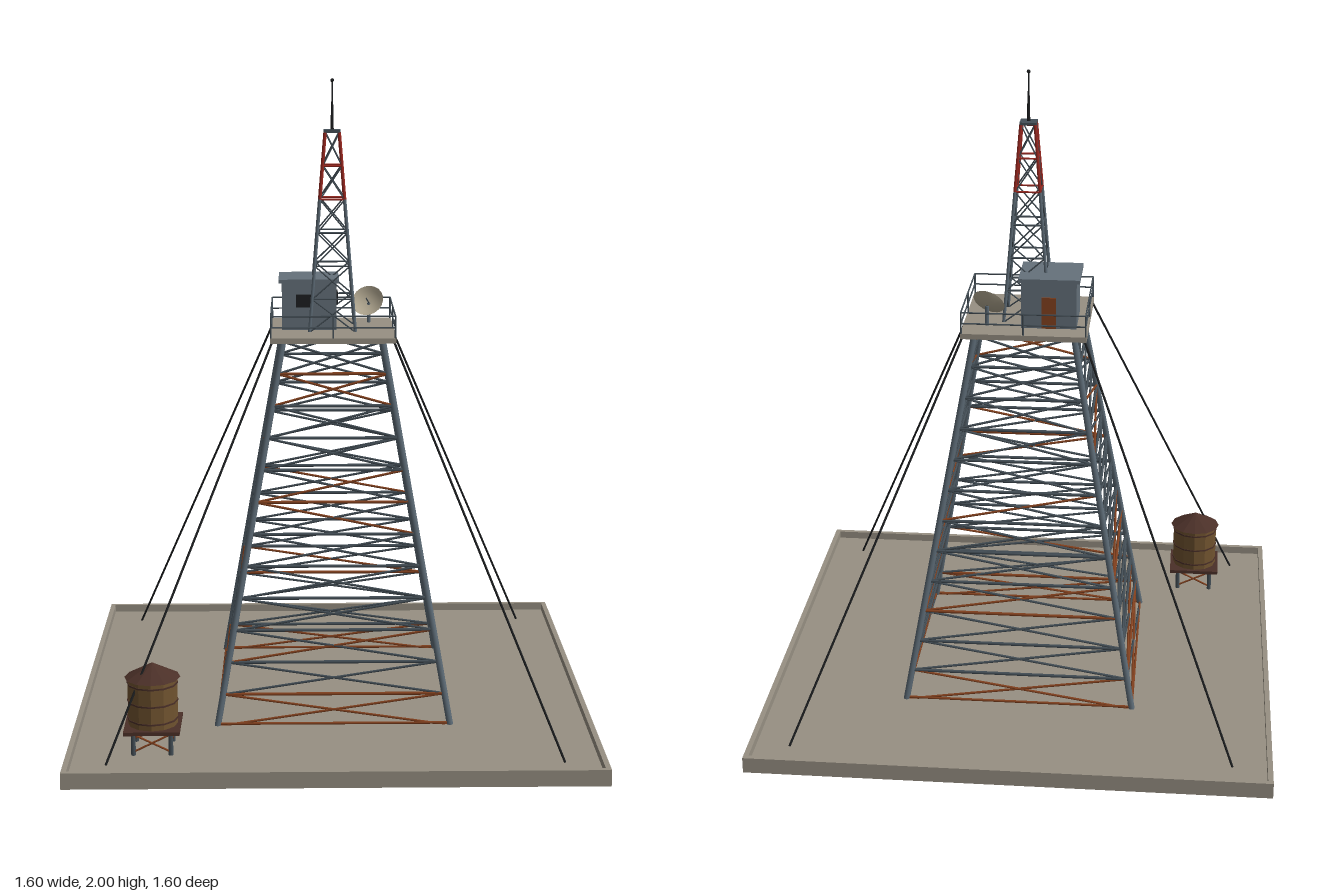
import * as THREE from 'three';

const mat = (name, color) => {
  const m = new THREE.MeshStandardMaterial({ color });
  m.name = name;
  return m;
};

export function createModel() {
  const concrete = mat('concrete', 0x979083);
  const steel = mat('blue grey steel', 0x5c6a75);
  const brace = mat('dark brace steel', 0x444f57);
  const black = mat('black cable', 0x1d1f21);
  const rust = mat('rust', 0x85421f);
  const red = mat('mast red', 0x9c2820);
  const cabinGrey = mat('cabin grey', 0x65717b);
  const wood = mat('tank wood', 0x70532f);
  const roofBrown = mat('roof brown', 0x4b3028);
  const cream = mat('dish cream', 0xb3a992);
  cream.side = THREE.DoubleSide;

  const root = new THREE.Group();
  const group = (name) => {
    const g = new THREE.Group();
    g.name = name;
    root.add(g);
    return g;
  };
  const add = (parent, name, geo, m, x = 0, y = 0, z = 0) => {
    const mesh = new THREE.Mesh(geo, m);
    mesh.name = name;
    mesh.position.set(x, y, z);
    parent.add(mesh);
    return mesh;
  };
  const box = (parent, name, w, h, d, m, x, y, z) =>
    add(parent, name, new THREE.BoxGeometry(w, h, d), m, x, y, z);
  const up = new THREE.Vector3(0, 1, 0);
  // Straight bar between two points
  const strut = (parent, name, a, b, r, m, sides = 6) => {
    const dir = b.clone().sub(a);
    const mesh = add(parent, name, new THREE.CylinderGeometry(r, r, dir.length(), sides), m);
    mesh.position.copy(a).add(b).multiplyScalar(0.5);
    mesh.quaternion.setFromUnitVectors(up, dir.normalize());
    return mesh;
  };
  // Corner k (0..3) of a square ring with half width h at height y
  const corner = (k, h, y) =>
    new THREE.Vector3(k === 0 || k === 3 ? h : -h, y, k < 2 ? h : -h);
  let seed = 11;
  const rand = () => (seed = (seed * 16807) % 2147483647) / 2147483647;

  // Tapering four-legged lattice; colour callbacks choose leg and brace material per panel
  const lattice = (g, o) => {
    const level = (i) => {
      const t = i / o.panels;
      return [o.h0 + (o.h1 - o.h0) * t, o.y0 + (o.y1 - o.y0) * t];
    };
    for (let i = 0; i < o.panels; i++) {
      for (let k = 0; k < 4; k++) {
        const a = corner(k, ...level(i)), b = corner((k + 1) % 4, ...level(i));
        const c = corner(k, ...level(i + 1)), d = corner((k + 1) % 4, ...level(i + 1));
        strut(g, 'leg', a, c, o.legR, o.legMat(i), 8);
        strut(g, 'girt', c, d, o.r, o.girtMat(i));
        strut(g, 'diagonal', a, d, o.r * 0.8, o.diagMat(i), 5);
        strut(g, 'diagonal', b, c, o.r * 0.8, o.diagMat(i), 5);
      }
    }
  };

  // Concrete pad with a low curb
  const pad = group('pad');
  box(pad, 'floor', 1.57, 0.025, 1.57, concrete, 0, 0.0125, 0);
  for (const s of [-1, 1]) {
    box(pad, 'curb', 1.6, 0.05, 0.016, concrete, 0, 0.025, s * 0.792);
    box(pad, 'curb', 0.016, 0.05, 1.568, concrete, s * 0.792, 0.025, 0);
  }

  // Main tower
  const tower = group('tower');
  lattice(tower, {
    panels: 12, h0: 0.362, h1: 0.155, y0: 0.022, y1: 1.2, legR: 0.01, r: 0.005,
    legMat: () => steel,
    girtMat: () => (rand() < 0.1 ? rust : brace),
    diagMat: (i) => (rand() < (i === 0 ? 0.6 : 0.2) ? rust : brace),
  });
  for (let k = 0; k < 4; k++) {
    strut(tower, 'baseGirt', corner(k, 0.362, 0.03), corner((k + 1) % 4, 0.362, 0.03), 0.004, rust);
  }

  // Deck and railing
  const deck = group('deck');
  box(deck, 'deckPlate', 0.39, 0.017, 0.39, concrete, 0, 1.2085, 0);
  for (let k = 0; k < 4; k++) {
    for (const y of [1.25, 1.285]) {
      strut(deck, 'rail', corner(k, 0.192, y), corner((k + 1) % 4, 0.192, y), 0.0025, brace);
    }
    for (const t of [0, 0.5]) {
      const p = corner(k, 0.192, 1.215).lerp(corner((k + 1) % 4, 0.192, 1.215), t);
      strut(deck, 'railPost', p, p.clone().setY(1.285), 0.003, brace);
    }
  }

  // Cabin with door at the back and a window on the left side
  const cabin = group('cabin');
  box(cabin, 'walls', 0.172, 0.15, 0.166, cabinGrey, -0.073, 1.292, -0.04);
  box(cabin, 'roof', 0.19, 0.012, 0.178, cabinGrey, -0.074, 1.372, -0.042);
  box(cabin, 'door', 0.045, 0.1, 0.006, rust, -0.073, 1.268, -0.125);
  box(cabin, 'window', 0.006, 0.04, 0.055, black, 0.015, 1.31, -0.035);
  box(cabin, 'window', 0.05, 0.04, 0.006, black, -0.09, 1.31, 0.045);

  // Upper mast, red towards the top
  const mast = group('mast');
  const mastMat = (i) => (i >= 4 ? red : steel);
  lattice(mast, {
    panels: 6, h0: 0.072, h1: 0.022, y0: 1.215, y1: 1.835, legR: 0.005, r: 0.003,
    legMat: mastMat,
    girtMat: (i) => (i >= 3 ? red : brace),
    diagMat: () => brace,
  });
  box(mast, 'capPlate', 0.052, 0.008, 0.052, brace, 0, 1.838, 0);
  add(mast, 'antennaBase', new THREE.CylinderGeometry(0.004, 0.005, 0.08, 8), black, 0, 1.88, 0);
  add(mast, 'antennaRod', new THREE.CylinderGeometry(0.002, 0.003, 0.075, 8), black, 0, 1.955, 0);
  add(mast, 'antennaTip', new THREE.SphereGeometry(0.006, 8, 6), black, 0, 1.994, 0);

  // Dish aimed up and forward
  const dish = group('dish');
  const bowl = [0, 0.013, 0.026, 0.039, 0.052].map((r) => new THREE.Vector2(r, r * r * 6.5));
  const reflector = add(dish, 'reflector', new THREE.LatheGeometry(bowl, 20), cream, 0.12, 1.28, -0.108);
  const aim = new THREE.Vector3(-0.28, 0.55, 0.79).normalize();
  reflector.quaternion.setFromUnitVectors(up, aim);
  strut(dish, 'feed', reflector.position, reflector.position.clone().addScaledVector(aim, 0.035), 0.002, brace);
  strut(dish, 'pole', new THREE.Vector3(0.12, 1.215, -0.108), reflector.position, 0.006, steel, 8);

  // Guy wires
  const wires = group('guyWires');
  for (let k = 0; k < 4; k++) {
    strut(wires, 'wire', corner(k, 0.188, 1.205), corner(k, 0.68, 0.025), 0.0035, black);
  }

  // Wooden water tank on a braced stand
  const tank = group('waterTank');
  tank.position.set(-0.548, 0, 0.545);
  for (let k = 0; k < 4; k++) {
    const n = (k + 1) % 4;
    strut(tank, 'tankLeg', corner(k, 0.056, 0.022), corner(k, 0.056, 0.098), 0.007, brace, 8);
    strut(tank, 'tankBrace', corner(k, 0.056, 0.035), corner(n, 0.056, 0.09), 0.003, rust);
    strut(tank, 'tankBrace', corner(n, 0.056, 0.035), corner(k, 0.056, 0.09), 0.003, rust);
  }
  box(tank, 'tankPlatform', 0.168, 0.011, 0.168, roofBrown, 0, 0.101, 0);
  const barrel = new THREE.CylinderGeometry(0.075, 0.075, 0.148, 12).toNonIndexed();
  barrel.computeVertexNormals();
  add(tank, 'barrel', barrel, wood, 0, 0.18, 0);
  for (const y of [0.125, 0.18, 0.235]) {
    add(tank, 'hoop', new THREE.CylinderGeometry(0.077, 0.077, 0.005, 12, 1), roofBrown, 0, y, 0);
  }
  const cone = new THREE.ConeGeometry(0.084, 0.045, 12).toNonIndexed();
  cone.computeVertexNormals();
  add(tank, 'tankRoof', cone, roofBrown, 0, 0.274, 0);

  return root;
}
